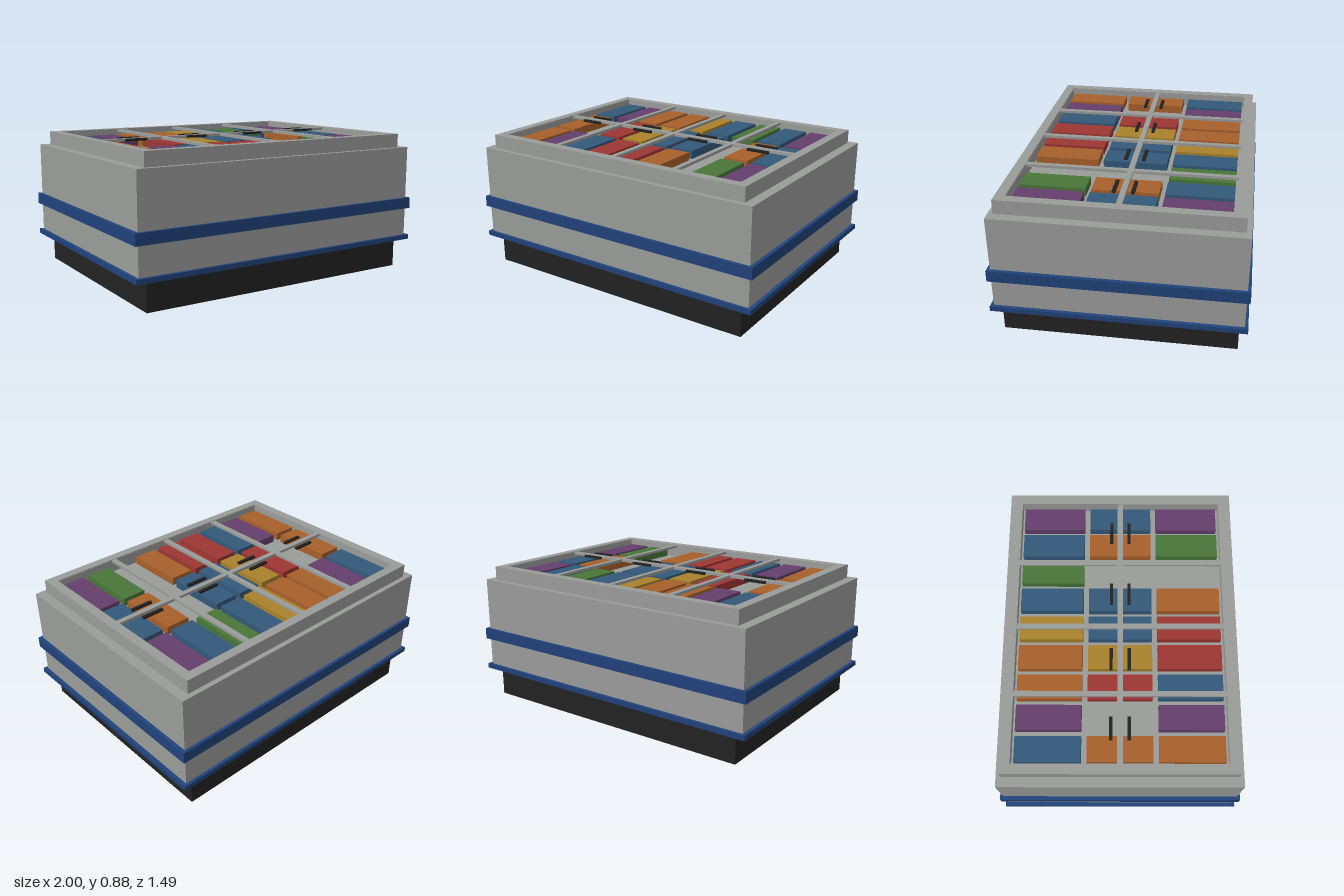
import * as THREE from 'three';

const mat = (name, color) => {
  const m = new THREE.MeshStandardMaterial({ color });
  m.name = name;
  return m;
};

export function createModel() {
  const model = new THREE.Group();
  model.name = 'cargoHold';
  const grey = mat('hull grey', 0x9a9c9a);
  const navy = mat('band navy', 0x21427a);
  const black = mat('skirt black', 0x222222);
  const paint = {
    O: mat('container orange', 0xa8602c),
    R: mat('container red', 0x9c3633),
    Y: mat('container yellow', 0xa8812c),
    B: mat('container blue', 0x34587a),
    G: mat('container green', 0x49753a),
    P: mat('container purple', 0x633f6c),
  };

  const add = (name, geometry, material) => {
    const mesh = new THREE.Mesh(geometry, material);
    mesh.name = name;
    model.add(mesh);
    return mesh;
  };

  // Box given by centre x and z, and bottom and top heights
  const box = (name, material, w, d, y0, y1, x = 0, z = 0) =>
    add(name, new THREE.BoxGeometry(w, y1 - y0, d), material).position.set(x, (y0 + y1) / 2, z);

  const rect = (path, x0, x1, z0, z1) => {
    path.moveTo(x0, z0);
    path.lineTo(x1, z0);
    path.lineTo(x1, z1);
    path.lineTo(x0, z1);
    path.closePath();
    return path;
  };

  // Flat frame with rectangular holes, raised from y0 to y1
  const frame = (name, material, hx, hz, holes, y0, y1) => {
    const shape = rect(new THREE.Shape(), -hx, hx, -hz, hz);
    for (const h of holes) shape.holes.push(rect(new THREE.Path(), ...h));
    const geo = new THREE.ExtrudeGeometry(shape, { depth: y1 - y0, bevelEnabled: false });
    geo.rotateX(-Math.PI / 2);
    add(name, geo, material).position.y = y0;
  };
  const hole = (hx, hz) => [[-hx, hx, -hz, hz]];

  // Hull: open skirt, solid body and two bands
  frame('baseSkirt', black, 0.917, 0.698, hole(0.913, 0.694), 0, 0.18);
  box('body', grey, 1.954, 1.456, 0.18, 0.79);
  frame('lowerBand', navy, 1, 0.747, hole(0.976, 0.727), 0.18, 0.21);
  frame('upperBand', navy, 1, 0.747, hole(0.976, 0.727), 0.388, 0.458);

  // Raised rim around the hold
  frame('coaming', grey, 0.917, 0.698, hole(0.858, 0.64), 0.79, 0.877);

  // Thin grid dividing the hold into eight bays
  const bays = [];
  for (const [x0, x1] of [[-0.855, -0.45], [-0.417, -0.017], [0.017, 0.417], [0.45, 0.855]])
    for (const [z0, z1] of [[-0.637, -0.017], [0.017, 0.637]]) bays.push([x0, x1, z0, z1]);
  frame('bayGrid', grey, 0.859, 0.641, bays, 0.857, 0.874);

  // Handles, one for each bay
  for (const x of [-0.645, -0.215, 0.215, 0.645])
    for (const z of [-0.055, 0.055]) box('handle', black, 0.142, 0.02, 0.862, 0.876, x, z);

  // Containers, listed from the back row to the front, right to left
  ['BPOOYBGBP', 'O-RYBB-OB', 'OPBRRO-GP'].forEach((row, r) => {
    [...row].forEach((c, i) => {
      if (c !== '-') box('container', paint[c], 0.155, 0.392, 0.79, 0.841, (i - 4) * 0.1905, (r - 1) * 0.426);
    });
  });

  return model;
}
